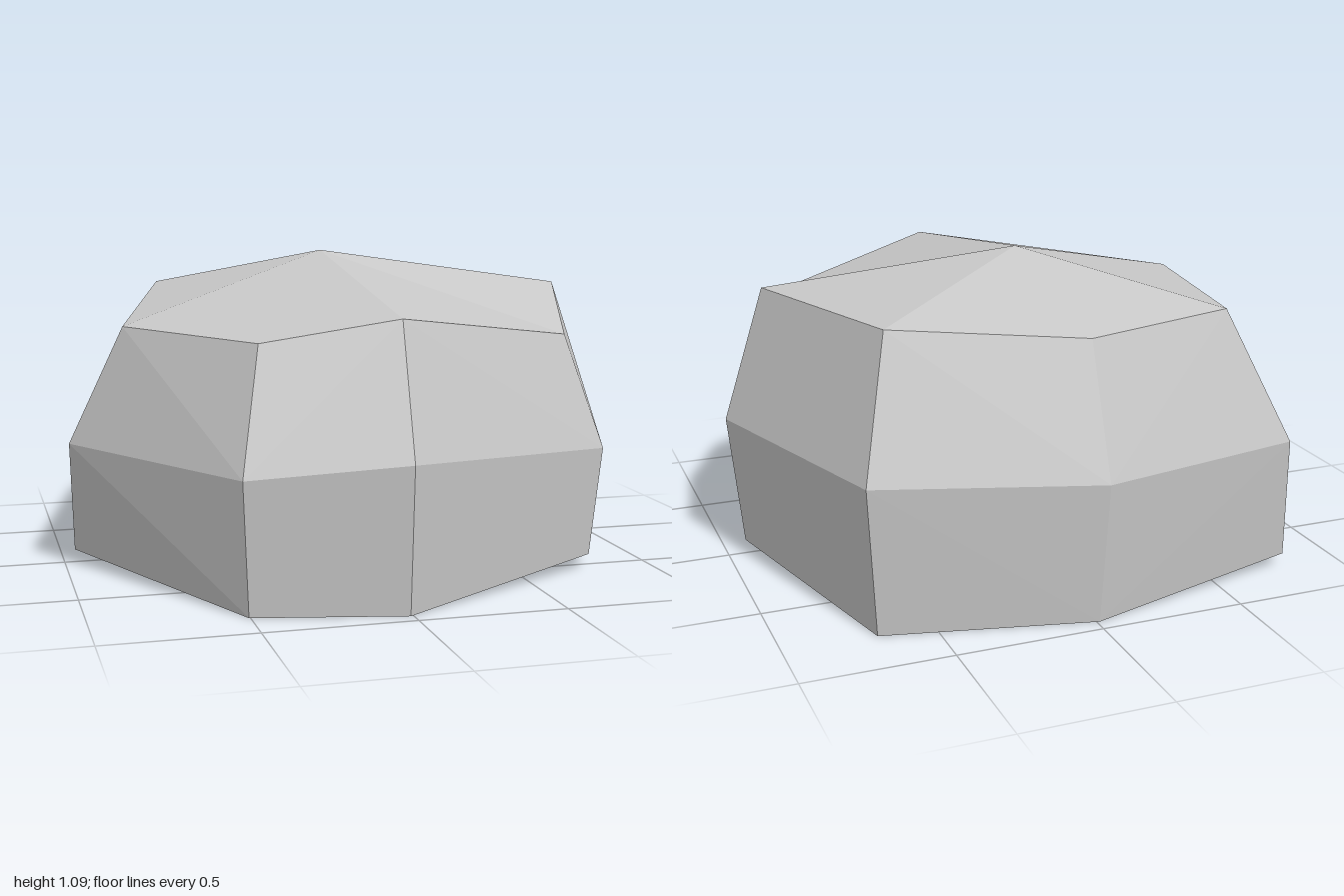
import * as THREE from 'three';

// Eight-sided rings of the boulder, each listed from +x round through +z
const RINGS = [
  [[0.938, 0.05, 0], [0.77, 0.05, 0.55], [-0.01, 0, 0.95], [-0.505, 0, 0.84],
    [-0.965, 0.05, 0.02], [-0.79, 0.045, -0.78], [-0.01, 0, -0.95], [0.69, 0, -0.79]],
  [[0.985, 0.51, 0], [0.805, 0.43, 0.57], [-0.015, 0.49, 1], [-0.53, 0.445, 0.885],
    [-0.985, 0.45, 0.125], [-0.755, 0.485, -0.84], [-0.015, 0.49, -1], [0.73, 0.52, -0.84]],
  [[0.84, 0.965, 0], [0.69, 0.82, 0.48], [-0.01, 0.925, 0.845], [-0.45, 0.85, 0.75],
    [-0.805, 0.86, 0.22], [-0.55, 0.94, -0.73], [-0.01, 0.925, -0.85], [0.625, 0.98, -0.71]],
].map((ring) => ring.map((p) => new THREE.Vector3(...p)));
const PEAK = new THREE.Vector3(-0.01, 1.085, -0.2);
const BASE = new THREE.Vector3(-0.01, 0, -0.2);

function boulderGeometry() {
  const points = [];
  const tri = (a, b, c) => points.push(a, b, c);
  // Split each side panel along the diagonal that bulges outward
  const quad = (a, b, c, d) => {
    const n = b.clone().sub(a).cross(c.clone().sub(a));
    if (n.dot(d.clone().sub(a)) <= 0) {
      tri(a, b, c);
      tri(a, c, d);
    } else {
      tri(a, b, d);
      tri(b, c, d);
    }
  };
  const [low, , high] = RINGS;
  for (let i = 0; i < 8; i++) {
    const j = (i + 1) % 8;
    for (let r = 0; r < 2; r++) {
      quad(RINGS[r][i], RINGS[r + 1][i], RINGS[r + 1][j], RINGS[r][j]);
    }
    tri(high[i], PEAK, high[j]); // crown facet
    tri(low[j], BASE, low[i]); // underside facet
  }
  // Unshared corners keep every facet flat
  const geometry = new THREE.BufferGeometry().setFromPoints(points);
  geometry.computeVertexNormals();
  return geometry;
}

export function createModel() {
  const stone = new THREE.MeshStandardMaterial({ color: 0xc8c8c8 });
  stone.name = 'stone grey';

  const boulder = new THREE.Mesh(boulderGeometry(), stone);
  boulder.name = 'boulder';

  const model = new THREE.Group();
  model.name = 'rock';
  model.add(boulder);
  return model;
}
